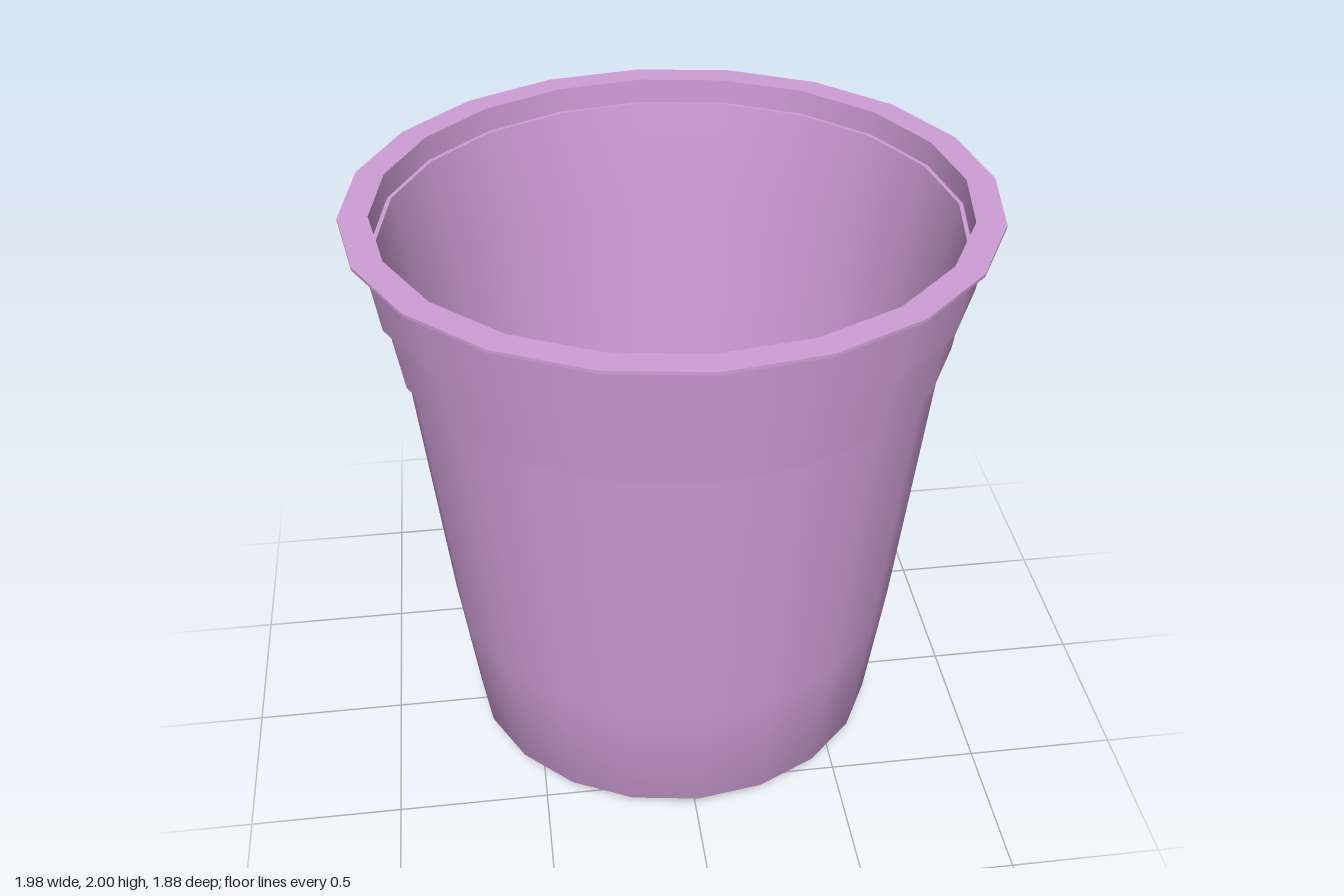
import * as THREE from 'three';

const SIDES = 20;
const DEPTH = 0.95; // slightly oval: narrower along z

export function createModel() {
  const model = new THREE.Group();
  model.name = 'cup';

  const plastic = new THREE.MeshStandardMaterial({ color: 0xcf9ed6 });
  plastic.name = 'lilac plastic';

  // One smooth ring of the cup; separate rings keep a sharp edge between them
  const ring = (name, profile) => {
    const points = profile.map(([r, y]) => new THREE.Vector2(r, y));
    const geometry = new THREE.LatheGeometry(points, SIDES).scale(1, 1, DEPTH);
    const mesh = new THREE.Mesh(geometry, plastic);
    mesh.name = name;
    model.add(mesh);
  };

  // Outside, from the base up to the rim
  ring('base', [[0, 0], [0.58, 0]]);
  ring('outerWall', [[0.58, 0], [0.7, 0.095], [0.755, 0.55], [0.85, 1.56]]);
  ring('lowerStep', [[0.85, 1.56], [0.872, 1.56]]);
  ring('lowerBand', [[0.872, 1.56], [0.9, 1.775]]);
  ring('upperStep', [[0.9, 1.775], [0.922, 1.775]]);
  ring('upperBand', [[0.922, 1.775], [0.95, 1.99]]);

  // Flat rim
  ring('rimUnderside', [[0.95, 1.99], [0.99, 1.99]]);
  ring('rimEdge', [[0.99, 1.99], [0.99, 2]]);
  ring('rimTop', [[0.99, 2], [0.9, 2]]);

  // Inside, from the rim down to the floor
  ring('innerLip', [[0.9, 2], [0.898, 1.92]]);
  ring('innerLedge', [[0.898, 1.92], [0.885, 1.92]]);
  ring('innerWall', [[0.885, 1.92], [0.835, 1.56], [0.74, 0.55], [0.685, 0.11], [0.57, 0.02]]);
  ring('floor', [[0.57, 0.02], [0, 0.02]]);

  return model;
}
